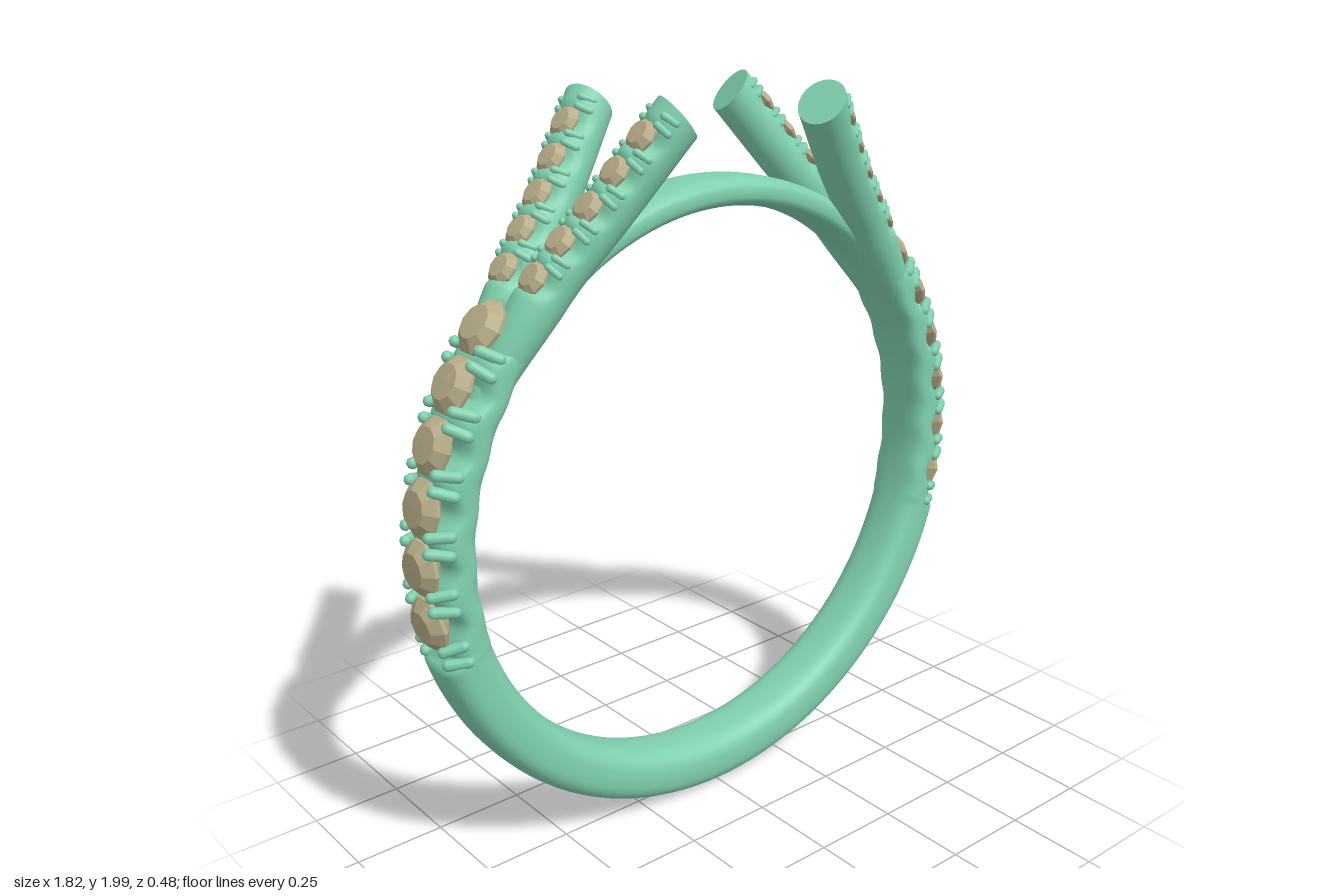
import * as THREE from 'three';

const V = (x, y, z) => new THREE.Vector3(x, y, z);
const metal = new THREE.MeshStandardMaterial({ color: 0x7fd0ae });
const stone = new THREE.MeshStandardMaterial({ color: 0xb8ad88, flatShading: true });

const CENTRE_Y = 0.917, INNER = 0.763, SEAT = 0.84;
const FIRST = -9.7, STEP = 9.83; // large stones: elevation angles in degrees
const BRANCH_STONES = [0.42, 0.54, 0.66, 0.78, 0.9];

// Sweeps a closed section along frames; point(i, a) gives the surface position
function sweep(rows, sides, point, closed) {
  const pos = [], index = [];
  const count = closed ? rows : rows + 1;
  for (let i = 0; i < count; i++)
    for (let j = 0; j < sides; j++) pos.push(...point(i / rows, (j / sides) * Math.PI * 2).toArray());
  for (let i = 0; i < rows; i++)
    for (let j = 0; j < sides; j++) {
      const i2 = (i + 1) % count, j2 = (j + 1) % sides;
      const a = i * sides + j, b = i2 * sides + j, c = i2 * sides + j2, d = i * sides + j2;
      index.push(a, b, d, b, c, d);
    }
  if (!closed) { // flat end cap with its own vertices
    const start = pos.length / 3, mid = V(0, 0, 0);
    for (let j = 0; j < sides; j++) {
      const p = point(1, (j / sides) * Math.PI * 2);
      mid.addScaledVector(p, 1 / sides);
      pos.push(...p.toArray());
    }
    pos.push(...mid.toArray());
    for (let j = 0; j < sides; j++) index.push(start + sides, start + ((j + 1) % sides), start + j);
  }
  const g = new THREE.BufferGeometry();
  g.setAttribute('position', new THREE.Float32BufferAttribute(pos, 3));
  g.setIndex(index);
  g.computeVertexNormals();
  return g;
}

function add(parent, name, geometry, material) {
  const mesh = new THREE.Mesh(geometry, material);
  mesh.name = name;
  parent.add(mesh);
  return mesh;
}

// Frame on the ring at angle phi: N outward, T along, B across
function ringFrame(phi) {
  const N = V(Math.cos(phi), Math.sin(phi), 0);
  return { p: N.clone().multiplyScalar(SEAT).add(V(0, CENTRE_Y, 0)), N, T: V(-N.y, N.x, 0), B: V(0, 0, 1) };
}

// Scallop: 0 at the middle of a stone, 1 between two stones
const scallop = k => 0.5 - 0.5 * Math.cos(k * Math.PI * 2);

function ringOuter(deg) {
  const S = THREE.MathUtils.smoothstep;
  const set = 0.845 + 0.035 * scallop((deg - FIRST) / STEP);
  const low = THREE.MathUtils.lerp(0.912, set, S(deg, -17, -15.5));
  return THREE.MathUtils.lerp(low, 0.843, S(deg, 44, 54));
}

function ringGeometry() {
  const power = v => Math.sign(v) * Math.pow(Math.abs(v), 0.72);
  return sweep(480, 32, (t, a) => {
    const phi = t * Math.PI * 2;
    const deg = THREE.MathUtils.radToDeg(Math.asin(Math.sin(phi)));
    const out = ringOuter(deg), mid = (out + INNER) / 2, half = (out - INNER) / 2;
    const width = deg > 50 ? 0.086 : 0.089 + 0.008 * THREE.MathUtils.smoothstep(deg, 5, 35);
    const r = mid + half * power(Math.cos(a));
    return V(Math.cos(phi) * r, CENTRE_Y + Math.sin(phi) * r, width * power(Math.sin(a)));
  }, true);
}

// Frame on one of the four branches
function branchFrames(sx, sz) {
  const curve = new THREE.CatmullRomCurve3([
    [0.734, 1.26, 0.03], [0.64, 1.415, 0.045], [0.525, 1.575, 0.068],
    [0.39, 1.735, 0.112], [0.233, 1.94, 0.177],
  ].map(([x, y, z]) => V(x * sx, y, z * sz)));
  return u => {
    const p = curve.getPointAt(u), T = curve.getTangentAt(u);
    const N = V(0.77 * sx, 0.64, 0);
    N.addScaledVector(T, -N.dot(T)).normalize();
    return { p, N, T, B: N.clone().cross(T) };
  };
}

function branchGeometry(frame) {
  const [u0, u1] = BRANCH_STONES;
  return sweep(120, 24, (u, a) => {
    const { p, N, T, B } = frame(u);
    const r = 0.04 + 0.025 * THREE.MathUtils.smoothstep(u, 0, 0.4);
    // scalloped cut on the outward side of the set length
    const k = (u - u0) / (u1 - u0);
    const cut = u > 0.35 && u < 0.96 ? 0.024 * (1 - scallop(k)) : 0;
    const c = Math.cos(a);
    const n = c * r - cut * Math.max(0, c);
    // the tip is cut at a slant
    const slant = 0.2 * THREE.MathUtils.smoothstep(u, 0.92, 1);
    return p.addScaledVector(N, n).addScaledVector(B, Math.sin(a) * r).addScaledVector(T, n * slant);
  }, false);
}

// Faceted round stone, unit girdle radius, axis along y
const stoneGeometry = new THREE.LatheGeometry(
  [[0, -0.75], [0.98, -0.1], [1, 0.03], [0.62, 0.35], [0, 0.37]].map(p => new THREE.Vector2(...p)), 10);

function addStone(parent, f, radius, height) {
  const mesh = add(parent, 'stone', stoneGeometry, stone);
  mesh.quaternion.setFromRotationMatrix(new THREE.Matrix4().makeBasis(f.T, f.N, f.B.clone().negate()));
  mesh.position.copy(f.p).addScaledVector(f.N, height);
  mesh.scale.setScalar(radius);
}

// Pairs of rounded claws on both edges of the gap between two stones
function addProngs(parent, f, radius, height) {
  for (const side of [-1, 1])
    for (const along of [-1, 1]) {
      const at = (w, h, t) => f.p.clone().addScaledVector(f.B, side * w * radius)
        .addScaledVector(f.N, height + h * radius).addScaledVector(f.T, along * t * radius);
      const a = at(1.1, -0.45, 0.32), b = at(0.72, 0.12, 0.27);
      const mesh = add(parent, 'prong', new THREE.CapsuleGeometry(radius * 0.2, a.distanceTo(b), 4, 8), metal);
      mesh.position.copy(a).add(b).multiplyScalar(0.5);
      mesh.quaternion.setFromUnitVectors(V(0, 1, 0), b.sub(a).normalize());
    }
}

export function createModel() {
  const model = new THREE.Group();
  model.name = 'splitShankRing';
  add(model, 'band', ringGeometry(), metal);

  for (const sx of [1, -1]) {
    const row = new THREE.Group();
    row.name = sx > 0 ? 'leftShoulderStones' : 'rightShoulderStones';
    model.add(row);
    const frameAt = deg => {
      const e = THREE.MathUtils.degToRad(deg);
      return ringFrame(sx > 0 ? e : Math.PI - e);
    };
    for (let i = 0; i < 6; i++) {
      addStone(row, frameAt(FIRST + i * STEP), 0.075, 0.044);
      addProngs(row, frameAt(FIRST + (i - 0.5) * STEP), 0.075, 0.044);
    }

    for (const sz of [1, -1]) {
      const branch = new THREE.Group();
      branch.name = (sz > 0 ? 'front' : 'back') + (sx > 0 ? 'Left' : 'Right') + 'Branch';
      model.add(branch);
      const frame = branchFrames(sx, sz);
      add(branch, 'branchTube', branchGeometry(frame), metal);
      for (const u of BRANCH_STONES) {
        addStone(branch, frame(u), 0.048, 0.05);
        addProngs(branch, frame(u + 0.06), 0.048, 0.05);
      }
    }
  }
  return model;
}
